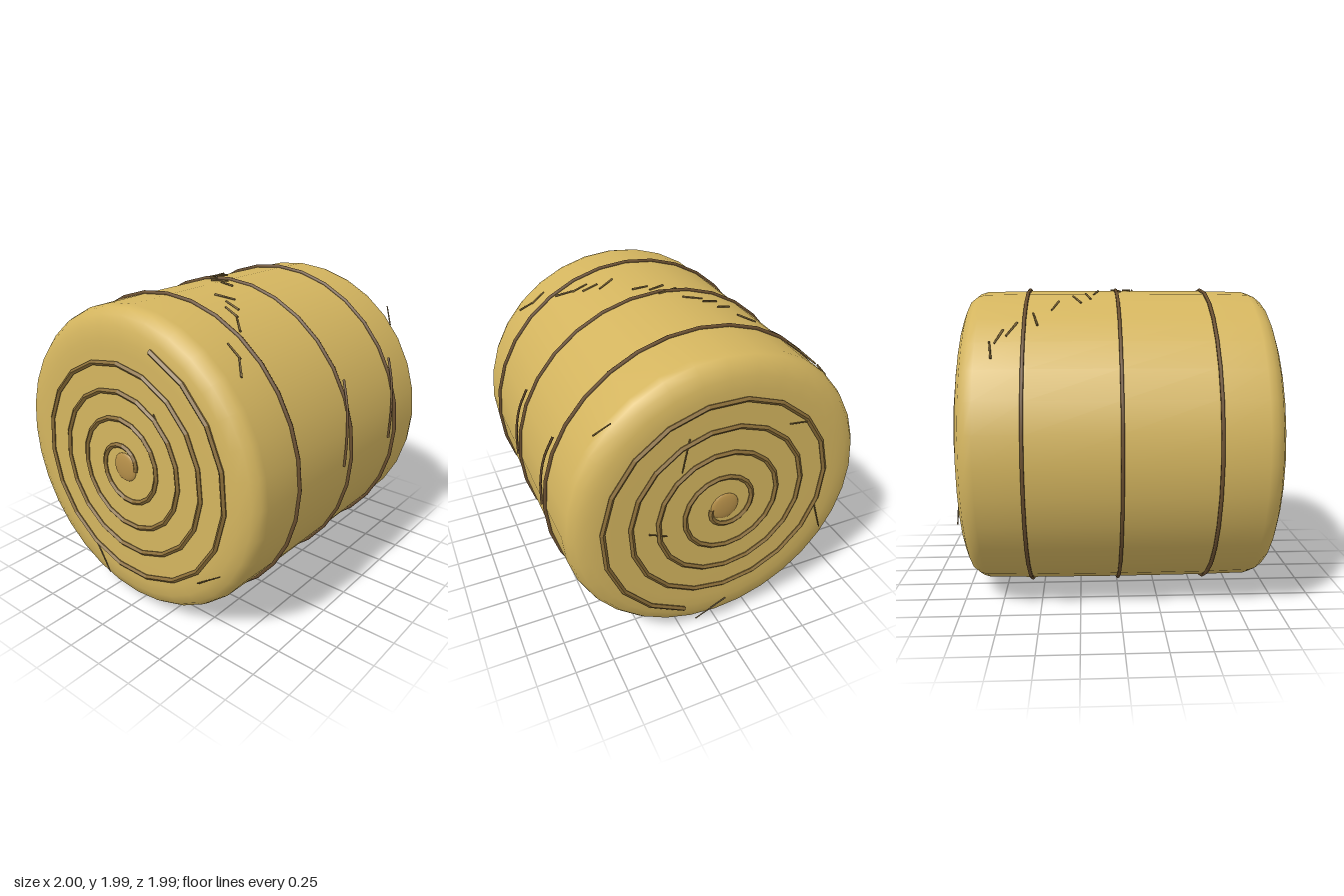
import * as THREE from 'three';

const R = 0.978;   // bale radius
const END = 0.978; // half length
const CY = 1;      // height of the bale's axis

const mat = (color, flat = false) => new THREE.MeshStandardMaterial({ color, flatShading: flat });
const V = (x, y, z) => new THREE.Vector3(x, y, z);

function add(parent, name, geometry, material) {
  const mesh = new THREE.Mesh(geometry, material);
  mesh.name = name;
  parent.add(mesh);
  return mesh;
}

// Spiral that grows evenly with the angle, lying in the plane of an end face
class Spiral extends THREE.Curve {
  getPoint(t, target = new THREE.Vector3()) {
    const a = Math.PI + t * 4.2 * 2 * Math.PI;
    const r = 0.09 + 0.72 * t;
    return target.set(END + 0.003, r * Math.sin(a), -r * Math.cos(a));
  }
  getPointAt(t, target) { return this.getPoint(t, target); }
  getTangentAt(t, target) { return this.getTangent(t, target); }
}

// Thin straight stalk between two points
function straw(a, b, radius = 0.007) {
  const dir = b.clone().sub(a);
  const g = new THREE.CylinderGeometry(radius * 0.8, radius, dir.length(), 5);
  g.applyQuaternion(new THREE.Quaternion().setFromUnitVectors(V(0, 1, 0), dir.normalize()));
  const c = a.clone().add(b).multiplyScalar(0.5);
  return g.translate(c.x, c.y, c.z);
}

export function createModel() {
  const group = new THREE.Group();
  group.name = 'hayBale';
  const hay = mat(0xd4b55f);
  const twine = mat(0x6b5030);
  const groove = mat(0x8a6d38, true);
  const stalk = mat(0x7c6436);

  // Rolled body with rounded rims
  const half = [[0, END], [0.4, END], [0.72, END], [0.79, 0.975], [0.86, 0.965], [0.925, 0.938], [0.958, 0.895], [0.972, 0.85], [R, 0.55]];
  const profile = [
    ...half.map(([r, x]) => new THREE.Vector2(r, -x)),
    new THREE.Vector2(R + 0.002, 0),
    ...half.slice().reverse().map(([r, x]) => new THREE.Vector2(r, x)),
  ];
  const body = add(group, 'baleBody', new THREE.LatheGeometry(profile, 32).rotateZ(-Math.PI / 2), hay);
  body.position.y = CY;

  // Twine loops
  for (const x of [-0.57, 0, 0.57]) {
    const g = new THREE.TorusGeometry(0.985, 0.012, 6, 32).rotateY(Math.PI / 2);
    add(group, 'twineLoop', g, twine).position.set(x, CY, 0);
  }

  // Loose twine tails on the front
  for (const x of [0, 0.57]) {
    const path = new THREE.CatmullRomCurve3([
      V(x, 1.49, 0.895), V(x - 0.035, 1.34, 0.95), V(x - 0.065, 1.16, 0.98), V(x - 0.083, 0.97, 0.985)]);
    add(group, 'twineTail', new THREE.TubeGeometry(path, 10, 0.008, 5), twine);
  }

  // Spiral layers and core on both ends
  for (const side of [1, -1]) {
    const end = new THREE.Group();
    end.name = side > 0 ? 'leftEnd' : 'rightEnd';
    end.position.y = CY;
    end.rotation.z = side > 0 ? 0 : Math.PI;
    add(end, 'spiralLayer', new THREE.TubeGeometry(new Spiral(), 80, 0.017, 5), groove);
    const core = add(end, 'core', new THREE.SphereGeometry(0.092, 16, 10), mat(0xb8914a));
    core.scale.x = 0.2;
    core.position.x = END;
    group.add(end);
  }

  // Stray stalks lying across the top: x1, z1, x2, z2
  const top = [
    [-0.77, 0.72, -0.69, 0.64], [-0.69, 0.65, -0.69, 0.56], [-0.53, 0.52, -0.44, 0.42],
    [-0.44, 0.43, -0.43, 0.33], [-0.37, 0.38, -0.365, 0.28], [-0.35, 0.18, -0.29, 0.29],
    [-0.12, 0.13, -0.11, 0.03], [-0.09, -0.07, -0.05, 0.04], [-0.025, -0.13, 0.03, 0.01],
    [0.12, -0.11, 0.15, -0.23], [0.17, -0.32, 0.2, -0.21], [0.23, -0.38, 0.28, -0.27],
    [0.37, -0.36, 0.41, -0.47], [0.49, -0.6, 0.52, -0.5], [0.61, -0.58, 0.67, -0.67],
    [0.69, -0.63, 0.735, -0.71], [0.75, -0.78, 0.765, -0.7],
  ];
  const onTop = (x, z) => V(x, CY + Math.sqrt(0.985 ** 2 - z * z), z);
  for (const [x1, z1, x2, z2] of top) {
    add(group, 'topStraw', straw(onTop(x1, z1), onTop(x2, z2)), stalk);
  }

  // Stray stalks at the ends: side, z1, y1, z2, y2
  const ends = [
    [1, 0.245, 1.55, 0.29, 1.34], [1, 0.49, 0.95, 0.38, 0.905], [1, -0.66, 0.79, -0.72, 0.59],
    [1, -0.05, 0.2, 0.17, 0.11], [1, -0.4, 1.48, -0.53, 1.47],
    [-1, 0.26, 1.41, 0.39, 1.2], [-1, -0.33, 0.36, -0.2, 0.17], [-1, 0.57, 0.42, 0.75, 0.55],
  ];
  for (const [s, z1, y1, z2, y2] of ends) {
    add(group, 'endStraw', straw(V(s * 0.982, y1, z1), V(s * 0.99, y2, z2), 0.005), stalk);
  }
  add(group, 'rimStraw', straw(V(0.85, 1.63, 0.75), V(0.93, 1.735, 0.675), 0.005), stalk);

  return group;
}
